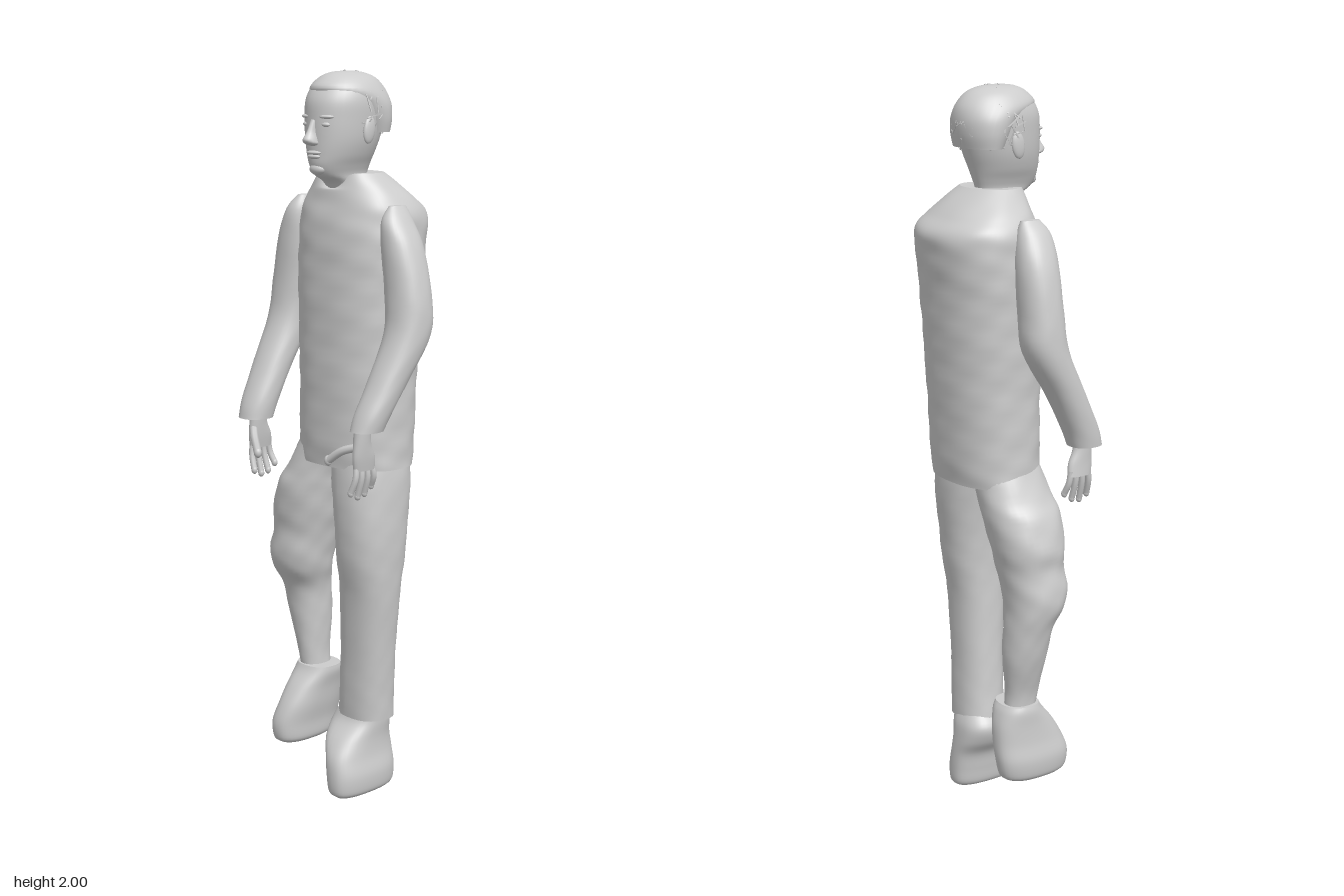
import * as THREE from 'three';

const grey = new THREE.MeshStandardMaterial({ color: 0xcccccc, side: THREE.DoubleSide });
grey.name = 'plain grey';

let seed = 7;
const rand = () => (seed = (seed * 16807) % 2147483647) / 2147483647;

// Catmull-Rom interpolation between section rows, column by column
function sampleRow(rows, t) {
  const f = t * (rows.length - 1), i = Math.min(Math.floor(f), rows.length - 2), u = f - i;
  const at = (k) => rows[Math.max(0, Math.min(rows.length - 1, k))];
  return rows[0].map((_, c) => {
    const [a, b, d, e] = [at(i - 1)[c], at(i)[c], at(i + 1)[c], at(i + 2)[c]];
    return b + 0.5 * u * (d - a + u * (2 * a - 5 * b + 4 * d - e + u * (3 * (b - d) + e - a)));
  });
}

// Skin over horizontal sections [y, xMin, xMax, zMin, zMax], listed bottom to top
function loft(rows, { power = 2, steps = 5, sides = 36, wrinkle = 0, shape = null } = {}) {
  const pos = [], index = [], n = (rows.length - 1) * steps;
  const bend = (v) => Math.sign(v) * Math.abs(v) ** (2 / power);
  for (let r = 0; r <= n; r++) {
    const [y, x0, x1, z0, z1] = sampleRow(rows, r / n);
    for (let s = 0; s < sides; s++) {
      const a = (s / sides) * Math.PI * 2;
      const w = 1 + wrinkle * (Math.sin(y * 47 + 3 * a) * Math.sin(5 * a + y * 13) + 0.6 * Math.sin(y * 83 - 4 * a));
      const p = new THREE.Vector3(
        (x0 + x1) / 2 + ((x1 - x0) / 2) * bend(Math.cos(a)) * w, y,
        (z0 + z1) / 2 + ((z1 - z0) / 2) * bend(Math.sin(a)) * w);
      if (shape) shape(p, a, r / n);
      pos.push(p.x, p.y, p.z);
      if (r < n) {
        const i = r * sides + s, j = r * sides + (s + 1) % sides;
        index.push(i, i + sides, j, j, i + sides, j + sides);
      }
    }
  }
  // end caps with their own vertices, so that the rims stay sharp
  for (const [r, up] of [[0, false], [n, true]]) {
    const base = pos.length / 3, c = [0, 0, 0];
    for (let s = 0; s < sides; s++) {
      for (let k = 0; k < 3; k++) {
        const v = pos[(r * sides + s) * 3 + k];
        pos.push(v);
        c[k] += v / sides;
      }
    }
    pos.push(...c);
    for (let s = 0; s < sides; s++) {
      const i = base + s, j = base + (s + 1) % sides;
      index.push(base + sides, ...(up ? [j, i] : [i, j]));
    }
  }
  const g = new THREE.BufferGeometry();
  g.setAttribute('position', new THREE.Float32BufferAttribute(pos, 3));
  g.setIndex(index);
  g.computeVertexNormals();
  return g;
}

function add(parent, name, geometry) {
  const m = new THREE.Mesh(geometry, grey);
  m.name = name;
  parent.add(m);
  return m;
}

function ellipsoid(parent, name, [x, y, z], [rx, ry, rz]) {
  const m = add(parent, name, new THREE.SphereGeometry(1, 18, 12));
  m.position.set(x, y, z);
  m.scale.set(rx, ry, rz);
  return m;
}

// Rounded digit following a few points
function digit(parent, name, points, radius) {
  const pts = points.map((p) => new THREE.Vector3(...p));
  add(parent, name, new THREE.TubeGeometry(new THREE.CatmullRomCurve3(pts), 8, radius, 8));
  ellipsoid(parent, name + 'Tip', points[points.length - 1], [radius, radius * 1.3, radius]);
}

function buildHead() {
  const head = new THREE.Group();
  head.name = 'head';
  // neck, jaw and skull in one skin
  add(head, 'skull', loft([
    [1.64, -0.058, 0.058, -0.04, 0.05], [1.7, -0.055, 0.055, -0.038, 0.08],
    [1.725, -0.05, 0.05, -0.042, 0.122], [1.75, -0.058, 0.058, -0.05, 0.138],
    [1.78, -0.072, 0.072, -0.06, 0.141], [1.82, -0.084, 0.084, -0.075, 0.142],
    [1.87, -0.09, 0.09, -0.09, 0.142], [1.92, -0.091, 0.091, -0.095, 0.137],
    [1.96, -0.078, 0.078, -0.078, 0.113], [1.983, -0.05, 0.05, -0.045, 0.08],
    [1.99, -0.01, 0.01, 0, 0.03]], { power: 2.1 }));
  // nose, mouth and chin
  add(head, 'nose', loft([
    [1.803, -0.008, 0.008, 0.125, 0.148], [1.809, -0.019, 0.019, 0.125, 0.165],
    [1.82, -0.017, 0.017, 0.125, 0.174], [1.84, -0.01, 0.01, 0.125, 0.161],
    [1.87, -0.008, 0.008, 0.125, 0.147]], { sides: 16 }));
  ellipsoid(head, 'upperLip', [0, 1.785, 0.138], [0.026, 0.006, 0.013]);
  ellipsoid(head, 'lowerLip', [0, 1.775, 0.137], [0.022, 0.007, 0.012]);
  ellipsoid(head, 'chin', [0, 1.742, 0.124], [0.026, 0.016, 0.018]);
  for (const s of [-1, 1]) {
    ellipsoid(head, 'eye', [s * 0.034, 1.858, 0.127], [0.015, 0.007, 0.011]);
    ellipsoid(head, 'brow', [s * 0.035, 1.878, 0.126], [0.023, 0.006, 0.013]).rotation.y = s * 0.25;
    ellipsoid(head, 'ear', [s * 0.091, 1.843, 0.025], [0.009, 0.036, 0.02]).rotation.x = -0.15;
  }
  return head;
}

function buildHair() {
  const hair = new THREE.Group();
  hair.name = 'hair';
  add(hair, 'hairCap', loft([
    [1.835, -0.09, 0.09, -0.092, 0.015], [1.87, -0.097, 0.097, -0.101, 0.035],
    [1.91, -0.098, 0.098, -0.104, 0.07], [1.945, -0.089, 0.089, -0.095, 0.125],
    [1.975, -0.066, 0.066, -0.068, 0.103], [1.99, -0.035, 0.035, -0.03, 0.07],
    [1.994, -0.006, 0.006, 0.01, 0.03]]));
  // loose flat strands lying over the cap
  const strand = new THREE.BoxGeometry(0.042, 0.003, 0.002);
  for (let i = 0; i < 200; i++) {
    const a = rand() * Math.PI * 2, h = -0.45 + 1.42 * rand(), r = Math.sqrt(1 - h * h);
    const d = new THREE.Vector3(Math.cos(a) * r, h, Math.sin(a) * r);
    if (d.z > 0.25 && h < 0.45) continue;
    const m = add(hair, 'strand', strand);
    m.position.set(d.x * 0.1, 1.888 + d.y * 0.106, 0.01 + d.z * 0.114);
    m.lookAt(m.position.clone().add(d));
    m.rotateZ(rand() * Math.PI);
  }
  return hair;
}

// Palm, four fingers and thumb; side is +1 for left
function buildHand(name, side, x, thumbTip) {
  const hand = new THREE.Group();
  hand.name = name;
  add(hand, 'palm', loft([
    [0.965, x - 0.018, x + 0.012, 0.095, 0.17], [1.0, x - 0.016, x + 0.018, 0.1, 0.176],
    [1.04, x - 0.016, x + 0.022, 0.118, 0.174], [1.09, x - 0.016, x + 0.026, 0.122, 0.17]], { sides: 20 }));
  for (let i = 0; i < 4; i++) {
    const z = 0.105 + i * 0.019, tip = [0.915, 0.898, 0.893, 0.905][i];
    digit(hand, 'finger', [[x - 0.003, 0.98, z], [x, 0.945, z + (i - 1.5) * 0.003],
      [x - side * 0.014, tip, z + (i - 1.5) * 0.006]], 0.0085);
  }
  digit(hand, 'thumb', [[x, 1.03, 0.16], [(x + thumbTip[0]) / 2, (1.03 + thumbTip[1]) / 2 + 0.008, 0.176], thumbTip], 0.011);
  return hand;
}

export function createModel() {
  const model = new THREE.Group();
  model.name = 'walkingMan';
  model.add(buildHead(), buildHair());

  // loose shirt with a small notch at the front of the neck
  add(model, 'shirt', loft([
    [0.94, -0.178, 0.168, -0.14, 0.1], [1.0, -0.176, 0.168, -0.148, 0.104],
    [1.15, -0.174, 0.168, -0.158, 0.106], [1.3, -0.178, 0.172, -0.168, 0.107],
    [1.45, -0.183, 0.178, -0.178, 0.107], [1.56, -0.183, 0.18, -0.19, 0.104],
    [1.62, -0.178, 0.175, -0.192, 0.097], [1.66, -0.158, 0.156, -0.155, 0.088],
    [1.7, -0.122, 0.122, -0.11, 0.08], [1.73, -0.094, 0.094, -0.07, 0.07]],
  { power: 2.3, steps: 7, sides: 64, wrinkle: 0.008, shape: (p, a, t) => {
    if (t > 0.85) p.y -= 0.045 * ((t - 0.85) / 0.15) * Math.max(0, Math.sin(a)) ** 14;
  } }));

  // sleeves bent forward at the elbow
  add(model, 'leftSleeve', loft([
    [1.075, 0.165, 0.245, 0.1, 0.192], [1.12, 0.163, 0.255, 0.077, 0.175],
    [1.2, 0.165, 0.268, 0.028, 0.132], [1.32, 0.165, 0.285, -0.045, 0.078],
    [1.42, 0.155, 0.279, -0.052, 0.064], [1.54, 0.142, 0.247, -0.053, 0.062],
    [1.61, 0.145, 0.21, -0.042, 0.056], [1.65, 0.16, 0.183, -0.027, 0.03]], { power: 2.2, wrinkle: 0.006 }));
  add(model, 'rightSleeve', loft([
    [1.05, -0.275, -0.185, 0.1, 0.194], [1.1, -0.279, -0.18, 0.08, 0.18],
    [1.2, -0.285, -0.175, 0.028, 0.132], [1.32, -0.288, -0.168, -0.045, 0.078],
    [1.42, -0.281, -0.158, -0.052, 0.064], [1.54, -0.258, -0.147, -0.053, 0.062],
    [1.62, -0.222, -0.15, -0.042, 0.056], [1.66, -0.19, -0.162, -0.027, 0.03]], { power: 2.2, wrinkle: 0.006 }));
  model.add(buildHand('leftHand', 1, 0.185, [0.1, 0.985, 0.185]));
  model.add(buildHand('rightHand', -1, -0.225, [-0.184, 0.96, 0.182]));

  // straight standing leg and lifted leg
  add(model, 'leftTrouser', loft([
    [0.215, -0.038, 0.125, -0.08, 0.052], [0.3, -0.028, 0.13, -0.076, 0.056],
    [0.42, -0.02, 0.14, -0.072, 0.061], [0.58, -0.013, 0.157, -0.075, 0.075],
    [0.68, -0.012, 0.164, -0.09, 0.093], [0.78, -0.017, 0.167, -0.102, 0.1],
    [0.9, -0.033, 0.164, -0.118, 0.098], [1.0, -0.05, 0.15, -0.12, 0.085]], { power: 2.3, wrinkle: 0.008 }));
  add(model, 'rightTrouser', loft([
    [0.3, -0.198, -0.125, -0.06, 0.03], [0.36, -0.205, -0.128, -0.06, 0.038],
    [0.46, -0.236, -0.122, -0.072, 0.048], [0.55, -0.256, -0.118, -0.07, 0.06],
    [0.61, -0.274, -0.1, -0.066, 0.092], [0.66, -0.275, -0.09, -0.07, 0.103],
    [0.72, -0.262, -0.078, -0.08, 0.1], [0.78, -0.264, -0.062, -0.092, 0.106],
    [0.86, -0.24, -0.045, -0.105, 0.108], [0.91, -0.208, -0.033, -0.11, 0.098],
    [1.0, -0.165, 0.0, -0.11, 0.08]], { power: 2.2, wrinkle: 0.012 }));

  // shoes
  add(model, 'leftShoe', loft([
    [0, 0.025, 0.095, -0.075, 0.115], [0.015, 0.006, 0.107, -0.091, 0.129],
    [0.06, -0.002, 0.11, -0.095, 0.132], [0.11, -0.012, 0.1, -0.095, 0.125],
    [0.155, -0.042, 0.097, -0.093, 0.098], [0.2, -0.053, 0.1, -0.088, 0.055],
    [0.235, -0.03, 0.1, -0.075, 0.04]], { power: 2.5 }));
  add(model, 'rightShoe', loft([
    [0.1, -0.212, -0.135, -0.06, 0.11], [0.115, -0.223, -0.122, -0.082, 0.128],
    [0.16, -0.228, -0.117, -0.093, 0.132], [0.21, -0.22, -0.106, -0.095, 0.115],
    [0.26, -0.216, -0.098, -0.092, 0.085], [0.3, -0.215, -0.088, -0.08, 0.052],
    [0.32, -0.21, -0.088, -0.068, 0.04]], { power: 2.4 }));
  return model;
}
